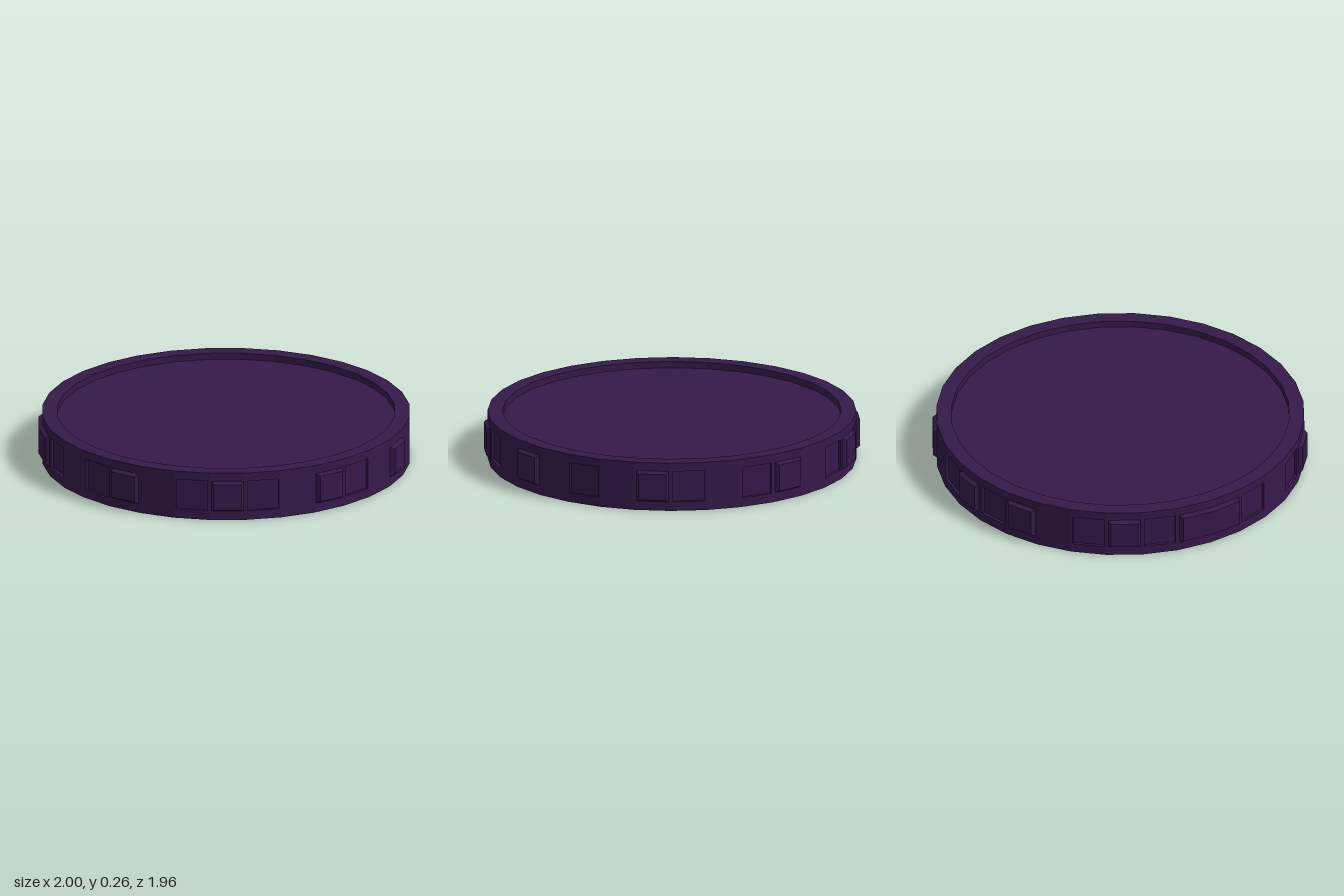
import * as THREE from 'three';

const SIDES = 32, R = 0.98, INNER = 0.9, H = 0.264, DISH = 0.035;
const STEP = (Math.PI * 2) / SIDES;
const APOTHEM = R * Math.cos(STEP / 2);
const HALF = R * Math.sin(STEP / 2);      // half width of one wall facet
const PANEL = 0.085;                      // half width of a panel
const Y0 = 0.05, Y1 = 0.218;              // panel bottom and top

const raised = [1, 4, 7, 10, 14, 18, 21, 23, 26];
const recessed = [0, 3, 5, 8, 12, 15, 17, 20, 22, 25, 27, 30];
const RAISE = 0.022, BEVEL = 0.012, SINK = -0.015;

const material = new THREE.MeshStandardMaterial({ color: 0x351a4a, flatShading: true });

// Four corners, counter-clockwise from outside, as [sideways, y, outward]
const ring = (l, r, b, t, d) => [[l, b, d], [r, b, d], [r, t, d], [l, t, d]];

// Joins nested rings of corners into one facet of the wall and closes the last
function facet(index, rings, name) {
  const a = (index + 0.5) * STEP, s = Math.sin(a), c = Math.cos(a);
  const position = rings.flat().flatMap(([u, y, d]) =>
    [u * c + (APOTHEM + d) * s, y, -u * s + (APOTHEM + d) * c]);
  const indices = [];
  for (let j = 0; j < rings.length - 1; j++) {
    for (let k = 0; k < 4; k++) {
      const a0 = j * 4 + k, a1 = j * 4 + (k + 1) % 4;
      indices.push(a0, a1, a1 + 4, a0, a1 + 4, a0 + 4);
    }
  }
  const e = (rings.length - 1) * 4;
  indices.push(e, e + 1, e + 2, e, e + 2, e + 3);
  const g = new THREE.BufferGeometry();
  g.setAttribute('position', new THREE.Float32BufferAttribute(position, 3));
  g.setIndex(indices);
  const flat = g.toNonIndexed();
  flat.computeVertexNormals();
  const mesh = new THREE.Mesh(flat, material);
  mesh.name = name;
  return mesh;
}

// joinL / joinR run a raised block round the corner into its neighbour
function raisedRings(joinL = false, joinR = false) {
  const mitre = HALF + RAISE * Math.tan(STEP / 2);
  const inset = PANEL - BEVEL;
  return [
    ring(-HALF, HALF, 0, H, 0),
    ring(joinL ? -HALF : -PANEL, joinR ? HALF : PANEL, Y0, Y1, 0),
    ring(joinL ? -mitre : -inset, joinR ? mitre : inset, Y0 + BEVEL, Y1 - BEVEL, RAISE),
  ];
}

const recessedRings = () => [
  ring(-HALF, HALF, 0, H, 0),
  ring(-PANEL, PANEL, Y0, Y1, 0),
  ring(-PANEL, PANEL, Y0, Y1, SINK),
];

export function createModel() {
  const model = new THREE.Group();
  model.name = 'roundBase';

  // Dished top and bottom with their flat rims
  const dish = (points, name) => {
    const mesh = new THREE.Mesh(
      new THREE.LatheGeometry(points.map(([x, y]) => new THREE.Vector2(x, y)), SIDES), material);
    mesh.name = name;
    model.add(mesh);
  };
  dish([[R, H], [INNER, H], [INNER, H - DISH], [0, H - DISH]], 'topDish');
  dish([[0, DISH], [INNER, DISH], [INNER, 0], [R, 0]], 'bottomDish');

  // Outer wall, facet by facet
  const wall = new THREE.Group();
  wall.name = 'outerWall';
  for (let i = 0; i < SIDES; i++) {
    if (i === 28) wall.add(facet(i, raisedRings(false, true), 'wideBlockLeftHalf'));
    else if (i === 29) wall.add(facet(i, raisedRings(true, false), 'wideBlockRightHalf'));
    else if (raised.includes(i)) wall.add(facet(i, raisedRings(), 'raisedBlock'));
    else if (recessed.includes(i)) wall.add(facet(i, recessedRings(), 'recessedPanel'));
    else wall.add(facet(i, [ring(-HALF, HALF, 0, H, 0)], 'plainWall'));
  }
  model.add(wall);
  return model;
}
